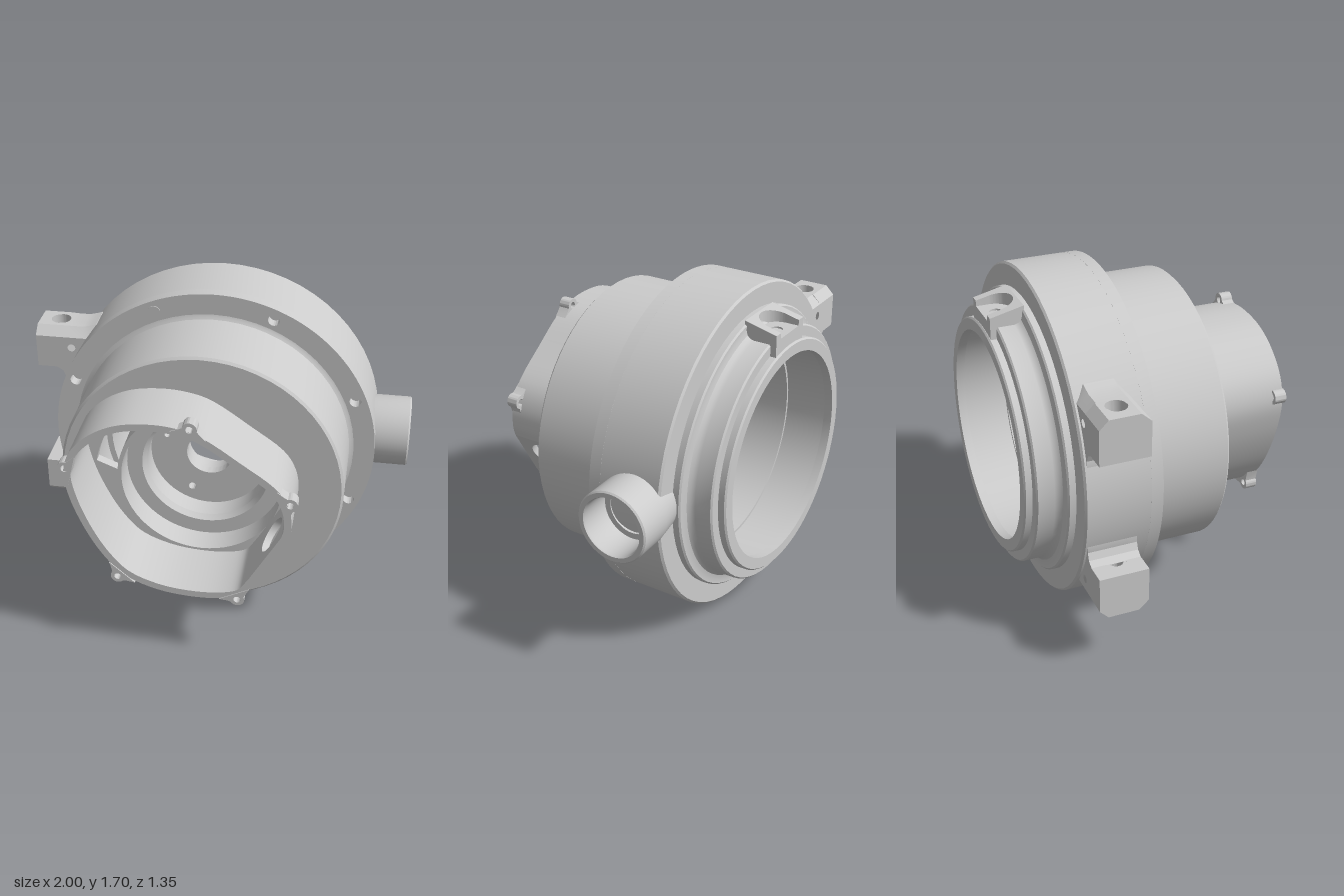
import * as THREE from 'three';
import { toCreasedNormals } from 'three/addons/utils/BufferGeometryUtils.js';

const CX = -0.027, CY = 0.855, SEG = 64;
const material = new THREE.MeshStandardMaterial({ color: 0xcccccc });
const V2 = (x, y) => new THREE.Vector2(x, y);

export function createModel() {
  const model = new THREE.Group();
  const add = (name, geometry, parent = model) => {
    const mesh = new THREE.Mesh(toCreasedNormals(geometry, 0.5), material);
    mesh.name = name;
    parent.add(mesh);
    return mesh;
  };
  // Closed ring turned around z: points are [radius, z], counterclockwise
  const turned = (pts) =>
    new THREE.LatheGeometry([...pts, pts[0]].map(([r, z]) => V2(r, z)), SEG).rotateX(Math.PI / 2);
  const circle = (x, y, r) => new THREE.Path().absarc(x, y, r, 0, Math.PI * 2, true);
  const polygon = (pts) => new THREE.Shape(pts.map(([x, y]) => V2(x, y)));
  const disc = (r, ...holes) => {
    const s = new THREE.Shape().absarc(0, 0, r, 0, Math.PI * 2, false);
    s.holes.push(...holes);
    return s;
  };
  const extrude = (shape, depth, z = 0, steps = 1, curveSegments = 24) =>
    new THREE.ExtrudeGeometry(shape, { depth, steps, curveSegments, bevelEnabled: false }).translate(0, 0, z);
  const editVertices = (g, fn) => {
    const p = g.attributes.position, v = new THREE.Vector3();
    for (let i = 0; i < p.count; i++) {
      fn(v.fromBufferAttribute(p, i));
      p.setXYZ(i, v.x, v.y, v.z);
    }
    return g;
  };

  // Round parts share the main axis
  const core = new THREE.Group();
  core.name = 'housingCore';
  core.position.set(CX, CY, 0);
  model.add(core);

  // Hollow housing: stepped rear lip, wide belt, narrower front drum
  add('housingShell', turned([
    [0.54, -0.675], [0.597, -0.675], [0.605, -0.667], [0.605, -0.635], [0.655, -0.635], [0.663, -0.627],
    [0.663, -0.545], [0.669, -0.525], [0.682, -0.511], [0.705, -0.505], [0.727, -0.505], [0.735, -0.497],
    [0.735, -0.465], [0.842, -0.465], [0.852, -0.455], [0.852, -0.135], [0.72, -0.135], [0.72, 0.326],
    [0.708, 0.338], [0.6, 0.338], [0.6, 0.288], [0.58, 0.288], [0.58, -0.06], [0.55, -0.06],
    [0.55, -0.4], [0.565, -0.4], [0.565, -0.63], [0.54, -0.63],
  ]), core);

  // Belt face with blind bolt holes; two opposite ones are plugged
  const boltHoles = [], plugs = [];
  for (let i = 0; i < 8; i++) {
    const a = (i + 0.5) * Math.PI / 4;
    const x = 0.795 * Math.cos(a), y = 0.795 * Math.sin(a);
    if (i === 1 || i === 5) boltHoles.push(circle(x, y, 0.03));
    else if (i === 2 || i === 6) plugs.push([x, y]);
    else boltHoles.push(circle(x, y, 0.03));
  }
  add('beltFace', extrude(disc(0.852, circle(0, 0, 0.715), ...boltHoles), 0.06, -0.135, 1, SEG), core);
  for (const [x, y] of plugs) {
    add('boltPlug', new THREE.CylinderGeometry(0.033, 0.033, 0.02, 24).rotateX(Math.PI / 2).translate(x, y, -0.081), core);
  }
  add('drumFillet', turned([[0.71, -0.08], [0.742, -0.075], [0.728, -0.07], [0.71, -0.055]]), core);

  // Front wall with a side window
  const windowCut = new THREE.Path();
  windowCut.absarc(0, 0, 0.54, 2.98, 2.5, true);
  windowCut.absarc(0, 0, 0.43, 2.42, 3.04, false);
  windowCut.closePath();
  add('frontWall', extrude(disc(0.605, circle(0, 0, 0.42), windowCut), 0.05, 0.288, 1, SEG), core);

  // Recessed bearing cup and its drilled floor
  add('bearingCup', turned([
    [0.43, -0.01], [0.43, 0.338], [0.41, 0.338], [0.41, 0.2], [0.33, 0.2], [0.31, 0.17],
    [0.31, -0.01],
  ]), core);
  const floorHoles = [[0.145, 0.19, 0.02], [-0.223, 0.095, 0.015], [-0.093, -0.215, 0.02], [0.222, -0.09, 0.015]];
  add('cupFloor', extrude(disc(0.33, circle(0, 0, 0.12), ...floorHoles.map((h) => circle(...h))), 0.05, 0.01, 1, 48), core);
  add('rearBoss', turned([[0.125, -0.06], [0.19, -0.06], [0.19, 0.02], [0.125, 0.02]]), core);

  // Front collar: a curved wall, closed by a flat panel with a port
  const z0 = 0.33, height = 0.342, wall = 0.036;
  const p1 = V2(0.452, 0.80), p2 = V2(0.30, 0.53);
  const curve = new THREE.CatmullRomCurve3([
    [p1.x, p1.y], [0.466, 0.86], [0.456, 0.97], [0.40, 1.08], [0.22, 1.22], [0.02, 1.352], [-0.1, 1.385],
    [-0.22, 1.392], [-0.37, 1.37], [-0.5, 1.305], [-0.6, 1.2], [-0.636, 1.08], [-0.612, 0.93], [-0.545, 0.75],
    [-0.46, 0.6], [-0.36, 0.49], [-0.2, 0.42], [-0.02, 0.395], [0.14, 0.405], [0.235, 0.44], [p2.x, p2.y],
  ].map(([x, y]) => new THREE.Vector3(x, y, 0)));
  const outer = [], inner = [];
  for (let i = 0; i <= 90; i++) {
    const p = curve.getPoint(i / 90), t = curve.getTangent(i / 90);
    outer.push(V2(p.x, p.y));
    inner.push(V2(p.x - t.y * wall, p.y + t.x * wall));
  }
  add('collarWall', extrude(new THREE.Shape([...outer, ...inner.reverse()]), height, z0));

  const along = p2.clone().sub(p1), length = along.length();
  along.normalize();
  const panel = polygon([[0, z0], [length, z0], [length, z0 + height], [0, z0 + height]]);
  panel.holes.push(circle(0.127, 0.51, 0.096));
  add('collarPortPanel', extrude(panel, wall).applyMatrix4(new THREE.Matrix4().makeBasis(
    new THREE.Vector3(along.x, along.y, 0), new THREE.Vector3(0, 0, 1), new THREE.Vector3(along.y, -along.x, 0),
  ).setPosition(p1.x, p1.y, 0)));

  // Screw lugs around the collar rim: position and direction pointing outward
  const lugs = [[-0.02, 1.384, 1.35], [0.457, 1.01, 0.35], [0.21, 0.408, -1.1], [-0.395, 0.482, -2.3], [-0.628, 1.108, 2.9]];
  for (const [x, y, a] of lugs) {
    const s = new THREE.Shape();
    s.moveTo(-0.035, -0.085);
    s.lineTo(-0.012, -0.05);
    s.lineTo(0, -0.036);
    s.absarc(0, 0, 0.036, -Math.PI / 2, Math.PI / 2, false);
    s.lineTo(-0.012, 0.05);
    s.lineTo(-0.035, 0.085);
    s.holes.push(circle(0, 0, 0.018));
    const lug = add('collarLug', extrude(s, 0.06, 0.617));
    lug.position.set(x, y, 0);
    lug.rotation.z = a;
  }

  // Side pipe along x
  const pipe = [[0.12, 0.68], [0.165, 0.68], [0.185, 0.82], [0.185, 0.992], [0.178, 1],
    [0.155, 1], [0.15, 0.99], [0.15, 0.83], [0.12, 0.83], [0.12, 0.68]];
  add('sidePipe', new THREE.LatheGeometry(pipe.map(([r, x]) => V2(r, x)), 40)
    .rotateZ(-Math.PI / 2).translate(0, 0.86, -0.32));

  // Mounting ears on the right side, mirrored top to bottom
  for (const side of [1, -1]) {
    const ear = new THREE.Group();
    ear.name = side > 0 ? 'upperEar' : 'lowerEar';
    ear.scale.y = side;
    ear.position.y = side > 0 ? 0 : 2 * CY;
    model.add(ear);
    const block = polygon([[-1, 0.195], [-0.835, 0.195], [-0.835, 0.445], [-1, 0.445]]);
    block.holes.push(circle(-0.89, 0.32, 0.052));
    const blockGeo = extrude(block, 0.225, 0, 5).rotateX(-Math.PI / 2).translate(0, 1.16, 0);
    add('earBlock', editVertices(blockGeo, (v) => {
      if (v.y > 1.38) v.z = THREE.MathUtils.clamp(v.z, -0.4, -0.245);
    }), ear);
    // Narrower bore below the counterbore
    add('earBore', extrude(disc(0.053, circle(0, 0, 0.036)), 0.13).rotateX(-Math.PI / 2).translate(-0.89, 1.161, -0.32), ear);
    const root = polygon([[-0.835, 1.385], [-0.835, 1.16], [-0.85, 1.12], [-0.85, 1.07], [-0.7, 1.02],
      [-0.58, 1.2], [-0.62, 1.35], [-0.68, 1.405], [-0.71, 1.395], [-0.75, 1.385]].reverse());
    root.holes.push(circle(-0.81, 1.28, 0.021));
    const rootGeo = extrude(root, 0.25, -0.445, 5);
    add('earRoot', editVertices(rootGeo, (v) => {
      if ((v.z < -0.44 || v.z > -0.2) && v.y > 1.34) v.y = 1.34;
    }), ear);
    // Fillet under the block
    add('earFillet', extrude(polygon([[-0.9, 1.162], [-0.865, 1.14], [-0.848, 1.1], [-0.83, 1.162]]), 0.25, -0.445), ear);
  }

  // Drilled pad with a raised U rim on top of the rear lip
  const pad = polygon([[-0.165, 0.5], [0.11, 0.5], [0.11, 0.665], [-0.165, 0.665]]);
  pad.holes.push(circle(CX, 0.595, 0.03));
  add('topPad', extrude(pad, 0.09).rotateX(-Math.PI / 2).translate(0, 1.435, 0));
  const rim = new THREE.Shape();
  rim.moveTo(-0.165, 0.665);
  rim.lineTo(-0.165, 0.495);
  rim.lineTo(0.11, 0.495);
  rim.lineTo(0.11, 0.665);
  rim.lineTo(0.065, 0.665);
  rim.lineTo(0.065, 0.6);
  rim.absarc(CX, 0.6, 0.092, 0, -Math.PI, true);
  rim.lineTo(-0.119, 0.665);
  const rimGeo = extrude(rim, 0.08).rotateX(-Math.PI / 2).translate(0, 1.515, 0);
  add('topPadRim', editVertices(rimGeo, (v) => {
    if (v.y > 1.55) v.y = 1.595 + (v.z + 0.495) * 0.24;
  }));

  return model;
}
